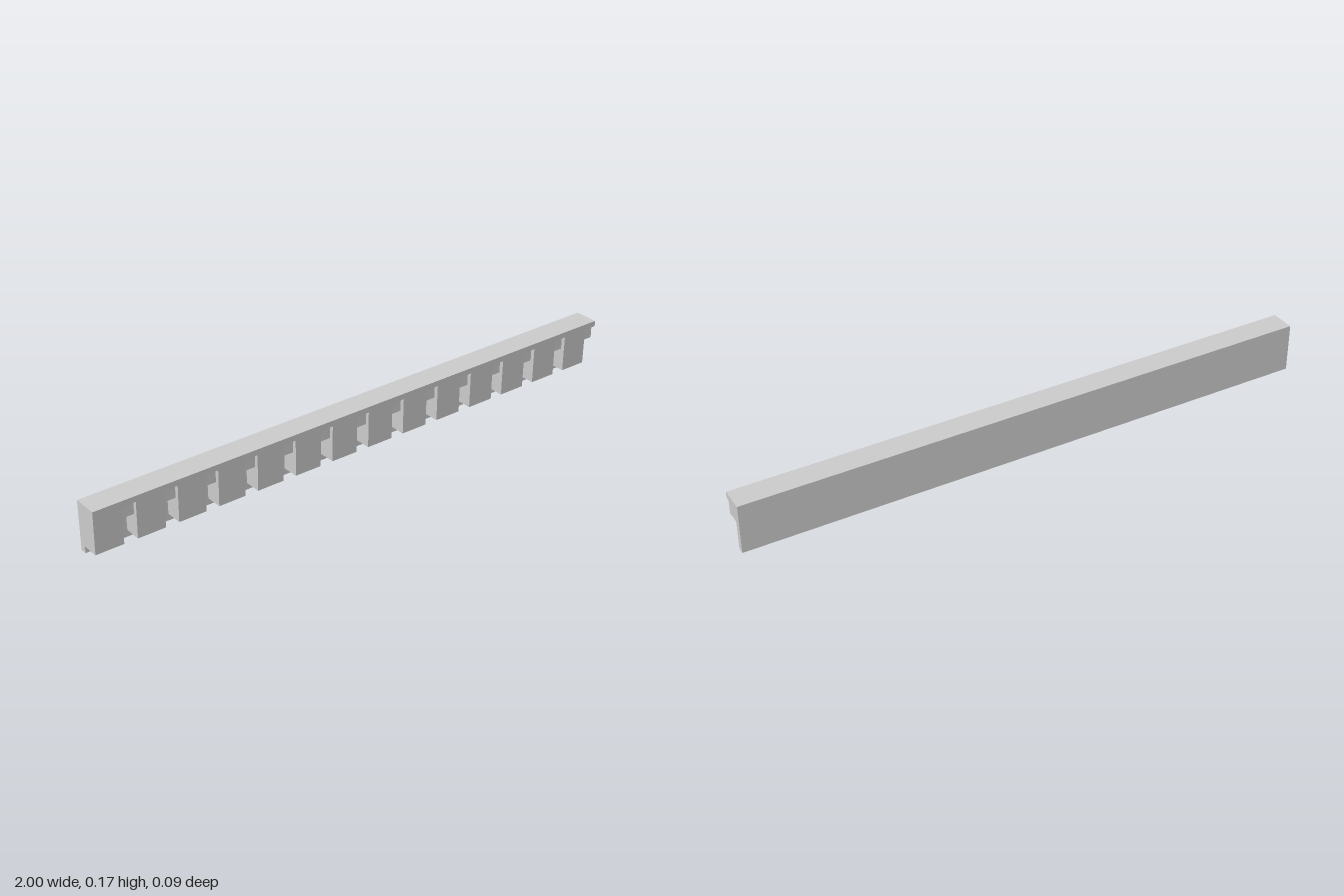
import * as THREE from 'three';

const COUNT = 14, PITCH = 2 / COUNT, TOOTH = 0.0964;
const BACK = -0.0425, PLATE = -0.02, LEDGE = 0.027; // depths in z
const TOP = 0.17, NOTCH_TOP = 0.15, LEDGE_Y = 0.102, TOOTH_BASE = 0.023;

// The front face leans very slightly forward towards the top
const frontZ = (y) => 0.039 + 0.0035 * (y - TOOTH_BASE) / (TOP - TOOTH_BASE);

// Extrude a [z, y] section along x, starting at x0
function bar(name, section, x0, length, material) {
  const shape = new THREE.Shape(section.map(([z, y]) => new THREE.Vector2(-z, y)));
  const geometry = new THREE.ExtrudeGeometry(shape, { depth: length, bevelEnabled: false });
  geometry.rotateY(Math.PI / 2).translate(x0, 0, 0);
  const mesh = new THREE.Mesh(geometry, material);
  mesh.name = name;
  return mesh;
}

export function createModel() {
  const group = new THREE.Group();
  group.name = 'dentilMoulding';
  const material = new THREE.MeshStandardMaterial({ color: 0xcccccc });

  // Continuous stepped backing: back plate, inner ledge and top fascia
  group.add(bar('backing', [
    [BACK, 0], [PLATE, 0], [PLATE, LEDGE_Y], [LEDGE, LEDGE_Y], [LEDGE, NOTCH_TOP],
    [frontZ(NOTCH_TOP), NOTCH_TOP], [frontZ(TOP), TOP], [BACK, TOP],
  ], -1, 2, material));

  // Row of teeth, each followed by a gap
  const toothSection = [
    [PLATE, TOOTH_BASE], [frontZ(TOOTH_BASE), TOOTH_BASE], [frontZ(NOTCH_TOP), NOTCH_TOP],
    [LEDGE, NOTCH_TOP], [LEDGE, LEDGE_Y], [PLATE, LEDGE_Y],
  ];
  for (let i = 0; i < COUNT; i++) {
    group.add(bar('tooth', toothSection, -1 + i * PITCH, TOOTH, material));
  }
  return group;
}
